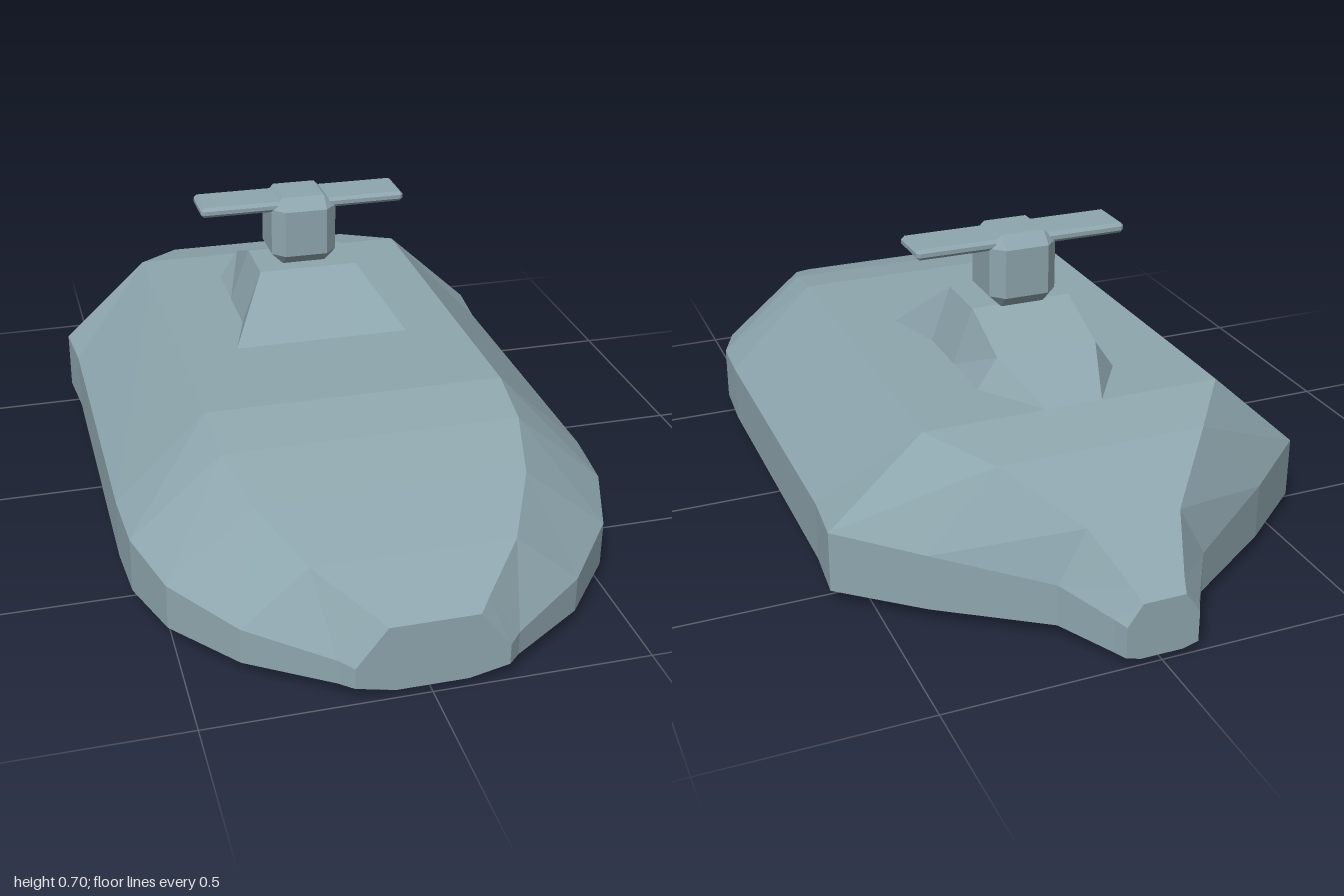
import * as THREE from 'three';
import { ConvexGeometry } from 'three/addons/geometries/ConvexGeometry.js';

const material = new THREE.MeshStandardMaterial({ color: 0x8ea6ae, flatShading: true });

// Flat-faced loft through mirrored cross-sections, ordered front to back.
// Each section: { z, pts } with pts the +x half, from bottom to top.
function loft(sections) {
  const loops = sections.map(({ z, pts }) => [
    ...pts.map(([x, y]) => [x, y, z]),
    ...[...pts].reverse().map(([x, y]) => [-x, y, z]),
  ]);
  const n = loops[0].length;
  const pos = [];
  const tri = (...corners) => corners.forEach((c) => pos.push(...c));
  for (let s = 0; s < loops.length - 1; s++) {
    const a = loops[s], b = loops[s + 1];
    for (let i = 0; i < n; i++) {
      const j = (i + 1) % n;
      if (i < n / 2) { // mirrored diagonals on the two sides
        tri(a[i], b[i], b[j]);
        tri(a[i], b[j], a[j]);
      } else {
        tri(a[i], b[i], a[j]);
        tri(a[j], b[i], b[j]);
      }
    }
  }
  const first = loops[0], last = loops[loops.length - 1];
  for (let i = 1; i < n - 1; i++) {
    tri(first[0], first[i], first[i + 1]);
    tri(last[0], last[i + 1], last[i]);
  }
  const g = new THREE.BufferGeometry();
  g.setAttribute('position', new THREE.Float32BufferAttribute(pos, 3));
  g.computeVertexNormals();
  return g;
}

// Box with all edges chamfered by c
function chamferBox(w, h, d, c) {
  const pts = [];
  for (const x of [-w / 2, w / 2])
    for (const y of [-h / 2, h / 2])
      for (const z of [-d / 2, d / 2]) {
        const [sx, sy, sz] = [x, y, z].map((v) => Math.sign(v) * c);
        pts.push(new THREE.Vector3(x, y - sy, z - sz));
        pts.push(new THREE.Vector3(x - sx, y, z - sz));
        pts.push(new THREE.Vector3(x - sx, y - sy, z));
      }
  return new ConvexGeometry(pts);
}

export function createModel() {
  const group = new THREE.Group();
  const add = (name, geometry, x = 0, y = 0, z = 0) => {
    const mesh = new THREE.Mesh(geometry, material);
    mesh.name = name;
    mesh.position.set(x, y, z);
    group.add(mesh);
  };

  // Hull: z, keel half width, keel y, side half width, side low y, side high y, deck half width, deck y
  const hull = [
    [1.0, 0.08, 0.02, 0.17, 0.04, 0.09, 0.1, 0.18],
    [0.97, 0.1, 0.0, 0.2, 0.037, 0.095, 0.125, 0.195],
    [0.85, 0.14, 0.0, 0.38, 0.035, 0.12, 0.23, 0.25],
    [0.69, 0.18, 0.0, 0.51, 0.035, 0.145, 0.31, 0.31],
    [0.53, 0.18, 0.0, 0.565, 0.035, 0.17, 0.35, 0.36],
    [0.38, 0.18, 0.0, 0.575, 0.035, 0.18, 0.36, 0.388],
    [-0.4, 0.18, 0.0, 0.575, 0.035, 0.18, 0.365, 0.388],
    [-0.54, 0.18, 0.0, 0.587, 0.035, 0.183, 0.365, 0.388],
    [-0.69, 0.16, 0.0, 0.41, 0.035, 0.17, 0.25, 0.355],
    [-0.85, 0.1, 0.0, 0.175, 0.035, 0.135, 0.11, 0.26],
    [-0.97, 0.06, 0.0, 0.1, 0.025, 0.105, 0.06, 0.172],
    [-1.0, 0.05, 0.015, 0.085, 0.025, 0.1, 0.05, 0.15],
  ];
  add('hull', loft(hull.map(([z, kx, ky, sx, s0, s1, dx, dy]) => (
    { z, pts: [[kx, ky], [sx, s0], [sx, s1], [dx, dy]] }))));

  // Steering pedestal with flared front and sloping tail
  const pedestal = [
    [0.07, 0.22, 0.387, 0.07, 0.388],
    [-0.08, 0.175, 0.386, 0.125, 0.523],
    [-0.23, 0.175, 0.386, 0.125, 0.523],
    [-0.385, 0.175, 0.386, 0.125, 0.46],
    [-0.54, 0.09, 0.386, 0.07, 0.388],
  ];
  add('pedestal', loft(pedestal.map(([z, bx, by, tx, ty]) => (
    { z, pts: [[bx, by], [tx, ty]] }))));

  // Steering post and handlebar
  add('steeringPost', chamferBox(0.168, 0.18, 0.17, 0.03), 0, 0.61, -0.182);
  add('handlebar', chamferBox(0.53, 0.026, 0.12, 0.008), 0, 0.677, -0.182);

  return group;
}
